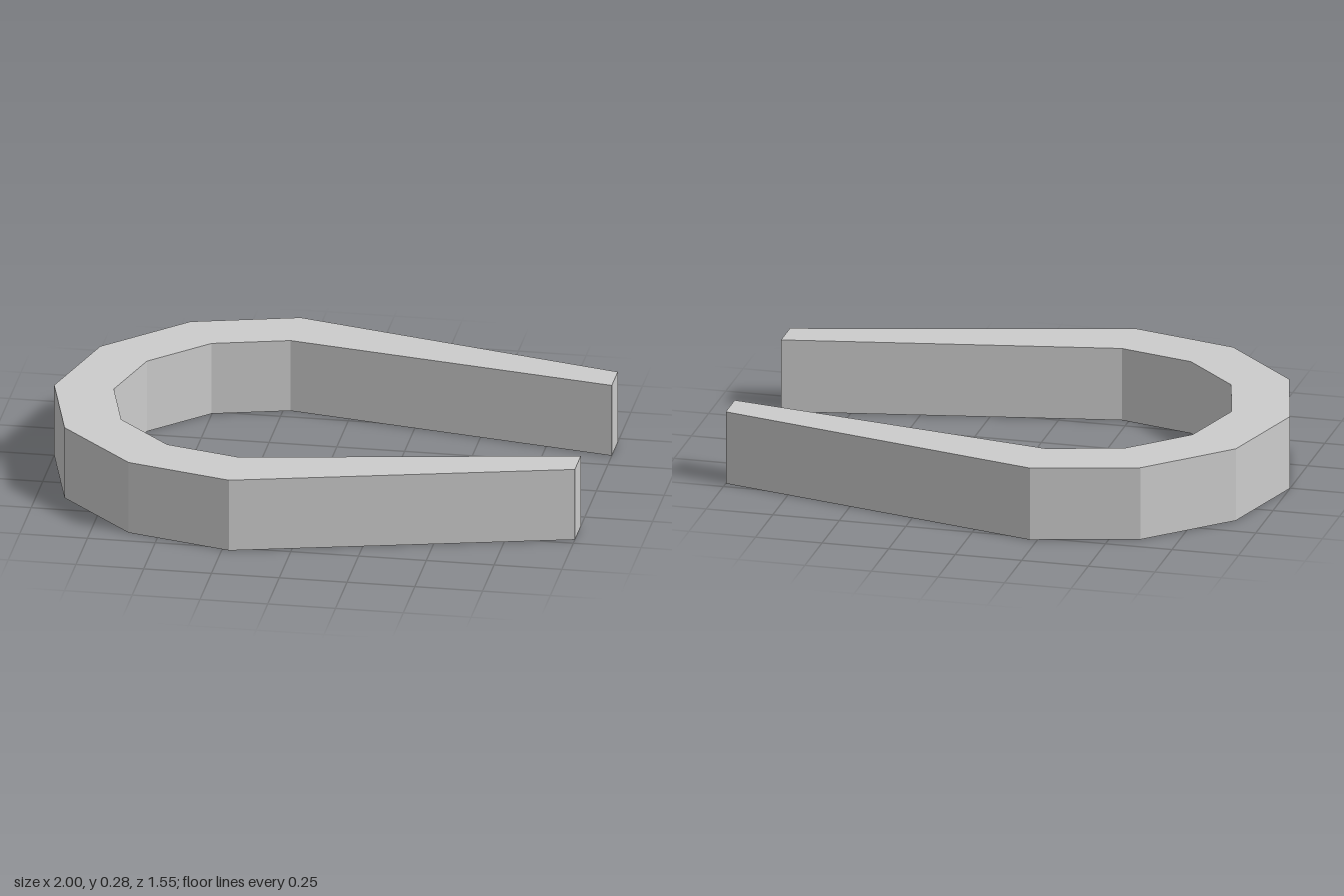
import * as THREE from 'three';

const HEIGHT = 0.277;
const CENTER_X = -0.223;
const OUTER_RADIUS = 0.777;
const INNER_RADIUS = 0.557;
const TIP_X = 1;
const TIP_OUTER = 0.466;
const TIP_INNER = 0.336;
const STEPS = 6;

// Faceted half circle opening toward +x, ending in two straight legs
function edge(radius, tip) {
  const points = [new THREE.Vector2(TIP_X, tip)];
  for (let i = 0; i <= STEPS; i++) {
    const a = Math.PI / 2 + (Math.PI * i) / STEPS;
    points.push(new THREE.Vector2(CENTER_X + radius * Math.cos(a), radius * Math.sin(a)));
  }
  points.push(new THREE.Vector2(TIP_X, -tip));
  return points;
}

export function createModel() {
  const group = new THREE.Group();
  group.name = 'horseshoe';

  // Outer edge one way round, inner edge back again
  const outline = new THREE.Shape([
    ...edge(OUTER_RADIUS, TIP_OUTER),
    ...edge(INNER_RADIUS, TIP_INNER).reverse(),
  ]);
  const geometry = new THREE.ExtrudeGeometry(outline, { depth: HEIGHT, bevelEnabled: false });
  geometry.rotateX(-Math.PI / 2); // lay flat on the ground

  const material = new THREE.MeshStandardMaterial({ color: 0xcccccc, flatShading: true });
  const band = new THREE.Mesh(geometry, material);
  band.name = 'horseshoeBand';
  group.add(band);
  return group;
}
